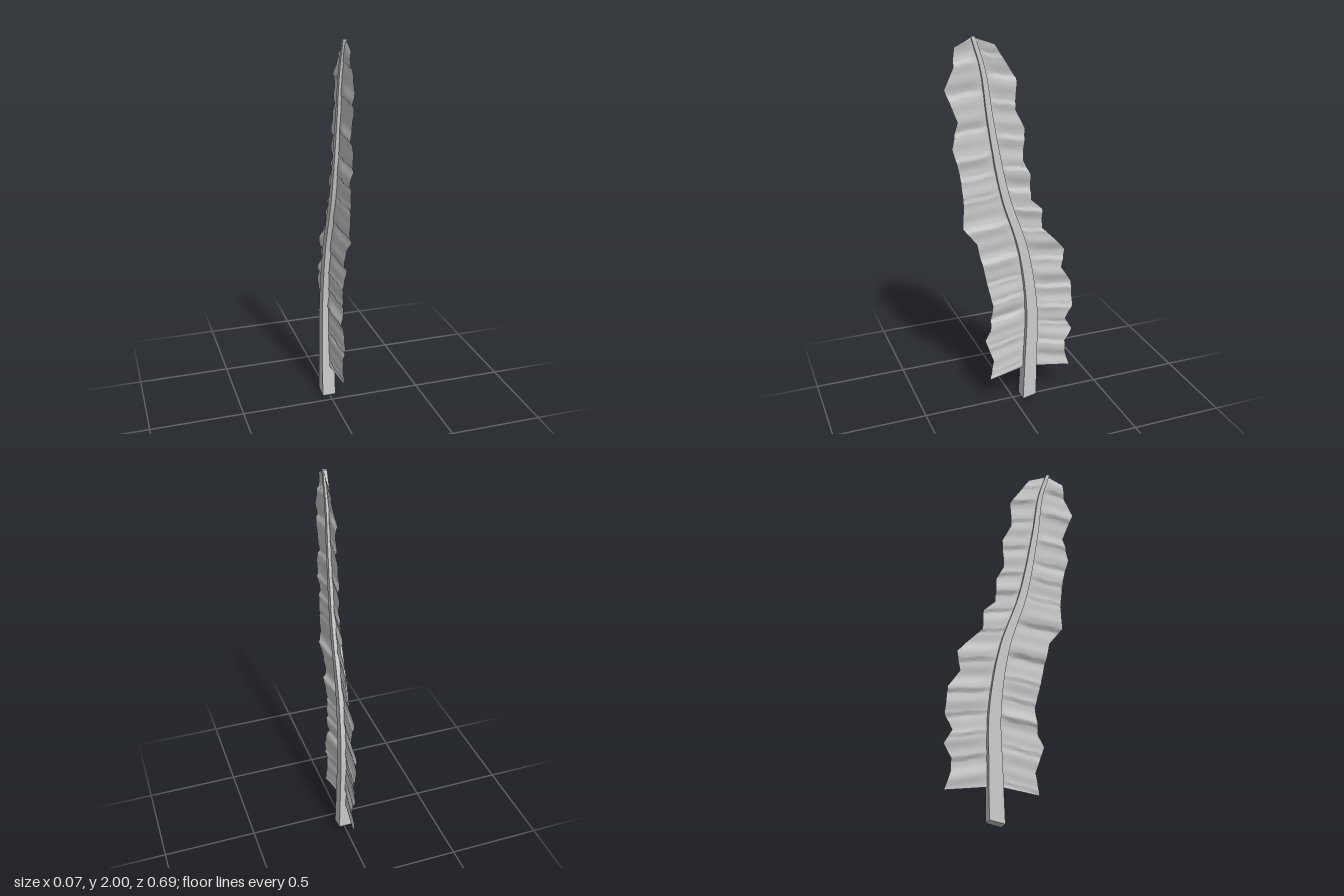
import * as THREE from 'three';
import { toCreasedNormals } from 'three/addons/utils/BufferGeometryUtils.js';

const grey = new THREE.MeshStandardMaterial({ color: 0xcccccc });
const greyThin = new THREE.MeshStandardMaterial({ color: 0xcccccc, side: THREE.DoubleSide });

// Curved line of the quill: z for each height
const quillLine = new THREE.CubicInterpolant(
  [0, 0.25, 0.55, 0.9, 1.2, 1.6, 1.85, 2],
  [-0.087, -0.095, -0.1, -0.05, 0.045, 0.12, 0.155, 0.2], 1);
const quillZ = (y) => quillLine.evaluate(y)[0];

// Ragged vane outlines, [y, z] from base to tip
const frontEdge = [
  [0.16, 0.14], [0.27, 0.12], [0.4, 0.165], [0.46, 0.135], [0.6, 0.12], [0.8, 0.165], [0.96, 0.2],
  [1.05, 0.27], [1.18, 0.265], [1.34, 0.28], [1.47, 0.315], [1.6, 0.285], [1.76, 0.345],
  [1.86, 0.3], [1.955, 0.29], [2, 0.2]];
const backEdge = [
  [0.155, -0.33], [0.25, -0.3], [0.31, -0.3], [0.38, -0.34], [0.45, -0.3], [0.53, -0.34],
  [0.67, -0.33], [0.76, -0.27], [0.86, -0.29], [0.92, -0.24], [1.0, -0.16], [1.11, -0.155],
  [1.165, -0.095], [1.3, -0.09], [1.38, -0.05], [1.54, -0.06], [1.64, -0.01], [1.79, -0.015],
  [1.96, 0.095], [2, 0.2]];

function meshFrom(positions, indices, material, name) {
  const geometry = new THREE.BufferGeometry();
  geometry.setAttribute('position', new THREE.Float32BufferAttribute(positions, 3));
  geometry.setIndex(indices);
  geometry.computeVertexNormals();
  const mesh = new THREE.Mesh(geometry, material);
  mesh.name = name;
  return mesh;
}

// Square tapered shaft, swept along the quill line
function makeQuill() {
  const rings = 40, positions = [], indices = [];
  const corners = [[-1, 1], [1, 1], [1, -1], [-1, -1]];
  for (let i = 0; i <= rings; i++) {
    const t = i / rings, y = 2 * t;
    const hx = THREE.MathUtils.lerp(0.037, 0.011, t);
    const hz = THREE.MathUtils.lerp(0.038, 0.01, t);
    for (const [sx, sz] of corners) {
      const lift = i === 0 && sz < 0 ? 0.015 : 0;
      positions.push(-0.003 + sx * hx, y + lift, quillZ(y) + sz * hz);
    }
  }
  for (let i = 0; i < rings; i++) {
    for (let k = 0; k < 4; k++) {
      const a = i * 4 + k, b = i * 4 + (k + 1) % 4;
      indices.push(a, b, b + 4, a, b + 4, a + 4);
    }
  }
  const top = rings * 4;
  indices.push(0, 3, 2, 0, 2, 1, top, top + 1, top + 2, top, top + 2, top + 3);
  const quill = meshFrom(positions, indices, grey, 'quill');
  quill.geometry = toCreasedNormals(quill.geometry, 0.6);
  return quill;
}

// Sideways ripple of the barbs: soft waves plus sharp overlapping folds
function ripple(y, phase) {
  const p = y * 7.3 + phase + 0.25 * Math.sin(y * 9 + phase);
  const fold = p - Math.floor(p) - 0.5;
  return 0.005 * Math.sin(y * 31 + phase * 2) + 0.003 * Math.sin(y * 67 + phase) + 0.012 * fold;
}

// Thin rippled sheet between the quill and one ragged edge
function makeVane(edge, bend, phase, name) {
  const cols = 8, positions = [], indices = [];
  const rows = [];
  edge.slice(1).forEach(([y1, z1], i) => {
    const [y0, z0] = edge[i];
    const steps = Math.max(3, Math.round((y1 - y0) / 0.012));
    for (let s = 0; s < steps; s++) {
      rows.push([THREE.MathUtils.lerp(y0, y1, s / steps), THREE.MathUtils.lerp(z0, z1, s / steps)]);
    }
  });
  rows.push(edge[edge.length - 1]);
  for (const [y, z] of rows) {
    const rise = 0.025 * Math.max(0, 1 - (y - 0.15) / 0.6);
    const fade = 1 - 0.35 * y / 2;
    for (let c = 0; c <= cols; c++) {
      const u = c / cols, py = y + rise * (1 - u);
      const wave = ripple(y + 0.02 * u, phase) * Math.sin(Math.PI * Math.min(u, 0.62));
      positions.push(-0.003 + bend(y) * u + wave * fade, py, THREE.MathUtils.lerp(quillZ(py), z, u));
    }
  }
  const n = cols + 1;
  for (let r = 0; r < rows.length - 1; r++) {
    for (let c = 0; c < cols; c++) {
      const a = r * n + c;
      indices.push(a, a + n, a + 1, a + 1, a + n, a + n + 1);
    }
  }
  return meshFrom(positions, indices, greyThin, name);
}

export function createModel() {
  const feather = new THREE.Group();
  feather.name = 'feather';
  feather.add(
    makeQuill(),
    makeVane(frontEdge, (y) => 0.03 * (1 - y / 2), 0.4, 'frontVane'),
    makeVane(backEdge, (y) => 0.028 - 0.008 * y, 1.9, 'backVane'));
  return feather;
}
